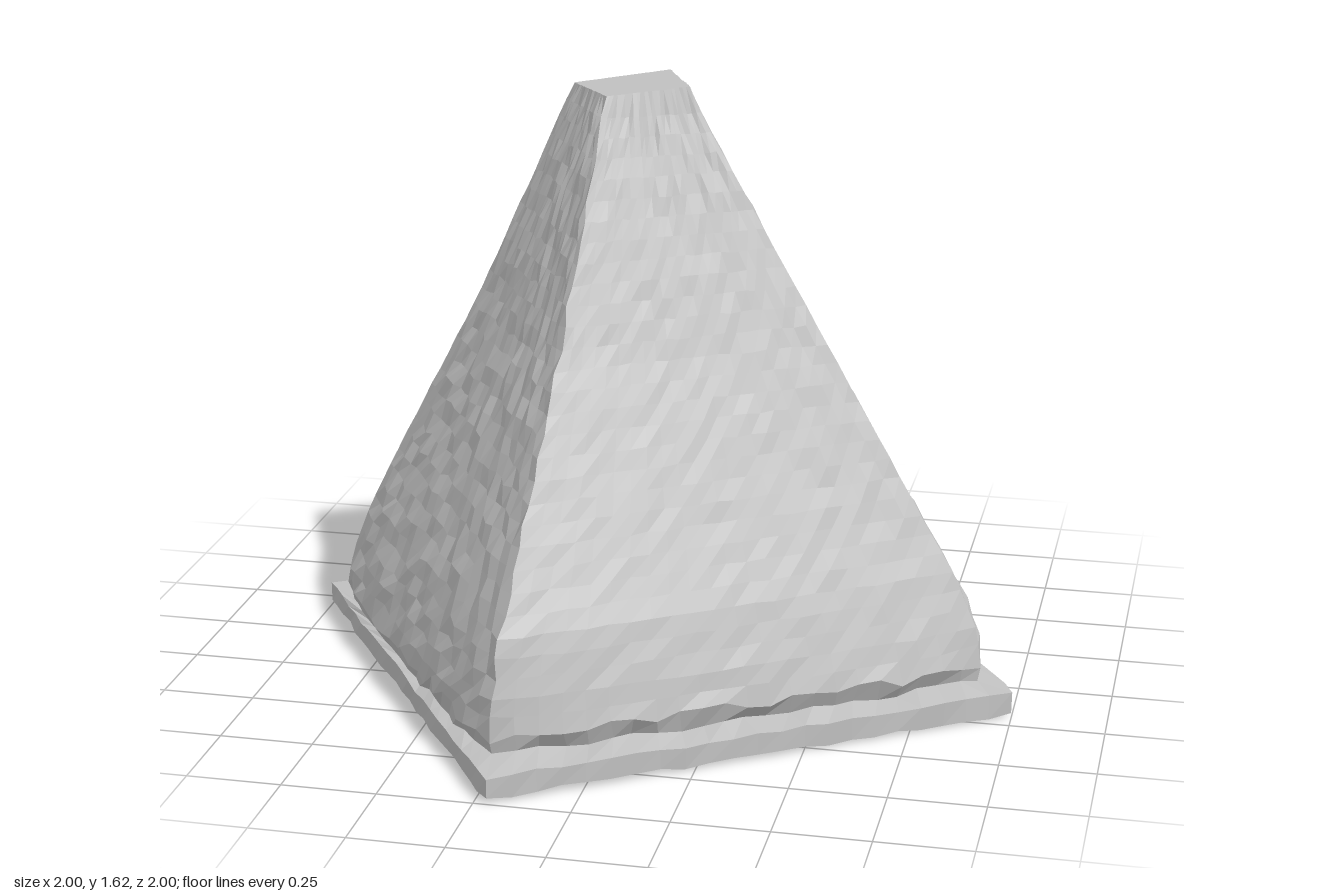
import * as THREE from 'three';

const stone = new THREE.MeshStandardMaterial({ color: 0xc2c2c2, flatShading: true, side: THREE.DoubleSide });
stone.name = 'grey stone';

const N = 22; // points along each of the four sides

// Seeded noise in -1..1 so the chipped surface is repeatable
function noise(i, j, k) {
  const s = Math.sin(i * 127.1 + j * 311.7 + k * 74.7) * 43758.5453;
  return (s - Math.floor(s)) * 2 - 1;
}

// One four-sided loop: corners [x, z] run clockwise from above, bulge pushes each side outward
function loop(y, corners, bulge, rough, row, yRough = 0) {
  const pts = [];
  for (let s = 0; s < 4; s++) {
    const [ax, az] = corners[s], [bx, bz] = corners[(s + 1) % 4];
    const len = Math.hypot(bx - ax, bz - az);
    const nx = (bz - az) / len, nz = -(bx - ax) / len;
    for (let i = 0; i < N; i++) {
      const t = i / N, id = s * N + i;
      const soft = 1 - Math.pow(2 * t - 1, 6);
      const out = bulge[s] * soft + rough[s] * noise(row, id, 1);
      const slide = i ? noise(row, id, 2) * rough[s] * 0.6 : 0;
      pts.push(new THREE.Vector3(
        ax + (bx - ax) * t + nx * out + (bx - ax) / len * slide,
        y + noise(row, id, 3) * (rough[s] * 0.8 + yRough),
        az + (bz - az) * t + nz * out + (bz - az) / len * slide));
    }
  }
  return pts;
}

// Skin between successive loops, with an optional cap on the last one
function skin(name, loops, capped) {
  const pos = loops.flat().flatMap(p => [p.x, p.y, p.z]);
  const index = [], M = 4 * N;
  for (let r = 0; r < loops.length - 1; r++) {
    for (let j = 0; j < M; j++) {
      const a = r * M + j, b = r * M + (j + 1) % M, c = a + M, d = b + M;
      index.push(a, c, b, b, c, d);
    }
  }
  if (capped) {
    const last = loops[loops.length - 1], mid = new THREE.Vector3();
    last.forEach(p => mid.addScaledVector(p, 1 / M));
    const base = (loops.length - 1) * M, top = pos.length / 3;
    pos.push(mid.x, mid.y, mid.z);
    for (let j = 0; j < M; j++) index.push(base + j, top, base + (j + 1) % M);
  }
  const g = new THREE.BufferGeometry();
  g.setAttribute('position', new THREE.Float32BufferAttribute(pos, 3));
  g.setIndex(index);
  g.computeVertexNormals();
  const mesh = new THREE.Mesh(g, stone);
  mesh.name = name;
  return mesh;
}

// Corner positions of the pyramid at key heights: left-back, back, right, front
const keys = [
  { y: 0.13, c: [[-0.92, -0.10], [0.21, -0.89], [0.91, 0.145], [-0.24, 0.885]] },
  { y: 0.22, c: [[-0.90, -0.11], [0.21, -0.885], [0.895, 0.14], [-0.235, 0.88]] },
  { y: 0.36, c: [[-0.845, -0.115], [0.20, -0.84], [0.835, 0.13], [-0.22, 0.845]] },
  { y: 0.55, c: [[-0.75, -0.115], [0.18, -0.745], [0.72, 0.115], [-0.20, 0.725]] },
  { y: 1.00, c: [[-0.515, -0.10], [0.09, -0.51], [0.45, 0.07], [-0.16, 0.435]] },
  { y: 1.60, c: [[-0.24, -0.08], [-0.01, -0.22], [0.09, 0.01], [-0.11, 0.11]] },
];

function cornersAt(y) {
  let k = 0;
  while (k < keys.length - 2 && y > keys[k + 1].y) k++;
  const a = keys[k], b = keys[k + 1], t = (y - a.y) / (b.y - a.y);
  return a.c.map((p, i) => [p[0] + (b.c[i][0] - p[0]) * t, p[1] + (b.c[i][1] - p[1]) * t]);
}

export function createModel() {
  const group = new THREE.Group();
  group.name = 'weathered pyramid';

  // Foot where the body meets the ledge, slightly undercut on the two smooth sides
  const inner = [[-0.91, -0.11], [0.2, -0.89], [0.9, 0.14], [-0.23, 0.87]];
  const foot = loop(0.082, inner, [0.04, 0.065, 0.025, 0.03], [0.008, 0.006, 0.01, 0.006], 60);

  // Base ledge, open below: it stands out on the smooth sides and runs flush on the rough ones
  const slab = [[-1, -0.19], [0.2, -1], [1, 0.19], [-0.215, 1]];
  const slabBulge = [0, 0.018, 0, 0.004], edge = [0.003, 0.006, 0.003, 0.003];
  const rim = loop(0.014, slab, slabBulge, edge, 51, 0.004);
  rim.forEach(p => { p.y -= p.x * 0.005; });
  group.add(skin('baseLedge', [rim, loop(0.072, slab, slabBulge, edge, 52, 0.003), foot]));

  // Pyramid body: two smooth faces and two rough ones, swollen only near the foot
  const rows = 30, loops = [foot];
  for (let r = 0; r <= rows; r++) {
    const t = r / rows, y = 0.13 + 1.47 * t, fade = 1 - t, low = fade ** 8;
    const rough = [0.003, 0.006 + 0.006 * fade, 0.003, 0.005 + 0.004 * fade];
    const bulge = [0.05 * low, 0.06 * fade ** 3, 0.045 * low, 0.03 * fade ** 3];
    loops.push(loop(y, cornersAt(y), bulge, rough.map(v => v * (r === rows ? 0.4 : 1)), r,
      r === 0 ? 0.015 : 0));
  }
  // Flat top, tilted a little
  loops[loops.length - 1].forEach(p => { p.y = 1.612 + p.x * 0.07; });
  group.add(skin('pyramidBody', loops, true));

  return group;
}
